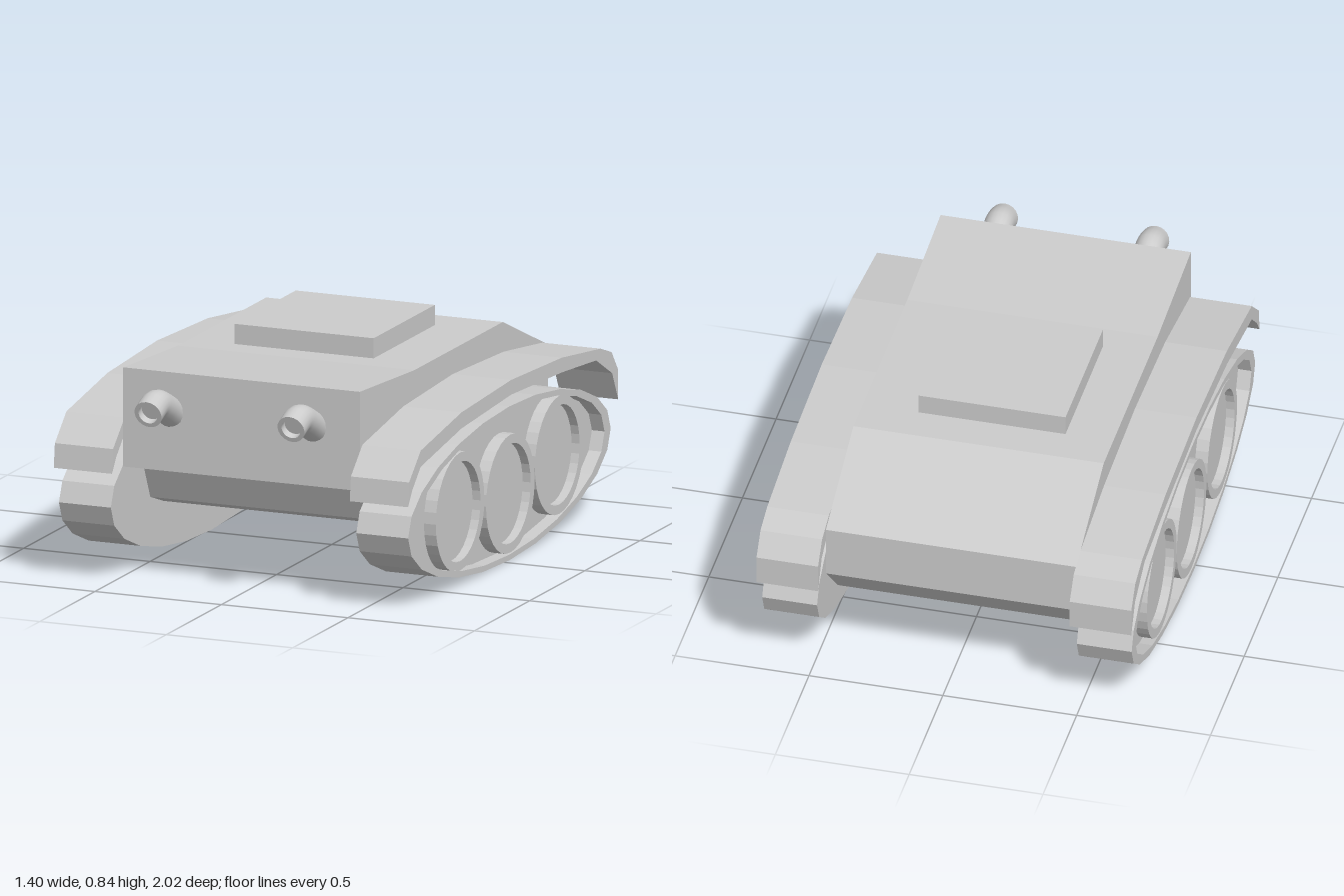
import * as THREE from 'three';

const material = new THREE.MeshStandardMaterial({ color: 0xcccccc, flatShading: true });
const smooth = new THREE.MeshStandardMaterial({ color: 0xcccccc, side: THREE.DoubleSide });

const toPoints = (list) => list.map(([z, y]) => new THREE.Vector2(z, y));

// Ellipse outline in the side plane
function ellipse(z, y, a, b, sides) {
  return Array.from({ length: sides }, (_, i) => {
    const t = (i / sides) * Math.PI * 2;
    return [z + a * Math.cos(t), y + b * Math.sin(t)];
  });
}

// Side profile (z, y) extruded across the width between two x values
function slab(name, outline, xa, xb, hole) {
  const shape = new THREE.Shape(toPoints(outline));
  if (hole) shape.holes.push(new THREE.Path(toPoints(hole)));
  const geometry = new THREE.ExtrudeGeometry(shape, { depth: Math.abs(xb - xa), bevelEnabled: false });
  geometry.rotateY(-Math.PI / 2).translate(Math.max(xa, xb), 0, 0);
  const mesh = new THREE.Mesh(geometry, material);
  mesh.name = name;
  return mesh;
}

// Track: lens-shaped body, raised rim and three ringed wheels in the recess
function createTrack(side) {
  const track = new THREE.Group();
  track.name = side > 0 ? 'leftTrack' : 'rightTrack';
  const outer = ellipse(-0.037, 0.292, 0.918, 0.287, 24);
  const inner = ellipse(-0.037, 0.292, 0.862, 0.266, 24);
  track.add(slab('trackBody', outer, side * 0.485, side * 0.64));
  track.add(slab('trackRim', outer, side * 0.64, side * 0.69, inner));
  for (const [z, y] of [[0.403, 0.285], [-0.052, 0.25], [-0.495, 0.295]]) {
    track.add(slab('wheelRing', ellipse(z, y, 0.22, 0.22, 32), side * 0.63, side * 0.687,
      ellipse(z, y, 0.185, 0.185, 32)));
    track.add(slab('wheelDisc', ellipse(z, y, 0.19, 0.19, 32), side * 0.63, side * 0.655));
  }
  return track;
}

// Mudguard: thin arched strip over the track with drooping ends
function createFender(side) {
  const fender = slab(side > 0 ? 'leftFender' : 'rightFender', [
    [0.905, 0.415], [0.895, 0.505], [0.79, 0.6], [0.42, 0.66], [-0.03, 0.68], [-0.49, 0.66],
    [-0.84, 0.615], [-0.94, 0.58], [-1, 0.5], [-1, 0.39],
    [-0.945, 0.5], [-0.8, 0.58], [-0.49, 0.605], [-0.03, 0.625], [0.42, 0.6], [0.79, 0.54], [0.865, 0.47],
  ], side * 0.47, side * 0.7);
  if (side < 0) fender.position.y = 0.01;
  return fender;
}

// Curved pipe with a hollow, recessed mouth
function createPipe(x) {
  const pipe = new THREE.Group();
  pipe.name = 'frontPipe';
  const path = new THREE.CatmullRomCurve3(
    [[0.645, 0.79], [0.687, 0.87], [0.708, 0.93], [0.685, 1]].map(([y, z]) => new THREE.Vector3(x, y, z)));
  const tube = new THREE.Mesh(new THREE.TubeGeometry(path, 12, 0.053, 20), smooth);
  tube.name = 'pipeWall';

  const mouth = new THREE.Group();
  mouth.name = 'pipeMouth';
  const end = path.getPoint(1);
  mouth.position.copy(end);
  mouth.lookAt(end.clone().add(path.getTangent(1)));
  const lip = new THREE.Mesh(new THREE.RingGeometry(0.037, 0.053, 20), smooth);
  const bore = new THREE.Mesh(
    new THREE.CylinderGeometry(0.037, 0.037, 0.03, 20, 1, true).rotateX(Math.PI / 2).translate(0, 0, -0.015), smooth);
  const floor = new THREE.Mesh(new THREE.CircleGeometry(0.037, 20).translate(0, 0, -0.03), smooth);
  lip.name = 'mouthLip';
  bore.name = 'mouthBore';
  floor.name = 'mouthFloor';
  mouth.add(lip, bore, floor);
  pipe.add(tube, mouth);
  return pipe;
}

export function createModel() {
  const model = new THREE.Group();
  model.name = 'armouredVehicle';

  // Hull with overhanging nose, sloped engine deck and stepped belly
  model.add(slab('hull', [
    [0.805, 0.8], [0.31, 0.77], [-0.49, 0.77], [-0.9, 0.595], [-0.9, 0.4], [-0.72, 0.22],
    [0.44, 0.22], [0.56, 0.262], [0.62, 0.39], [0.805, 0.43],
  ], -0.473, 0.462));

  // Roof hatch
  const hatch = new THREE.Mesh(new THREE.BoxGeometry(0.55, 0.085, 0.555), material);
  hatch.name = 'roofHatch';
  hatch.position.set(-0.02, 0.8025, -0.0725);
  model.add(hatch);

  // Running gear on both sides
  const runningGear = new THREE.Group();
  runningGear.name = 'runningGear';
  runningGear.position.x = -0.004;
  for (const side of [1, -1]) runningGear.add(createTrack(side), createFender(side));
  model.add(runningGear);

  for (const x of [-0.29, 0.275]) model.add(createPipe(x));
  return model;
}
